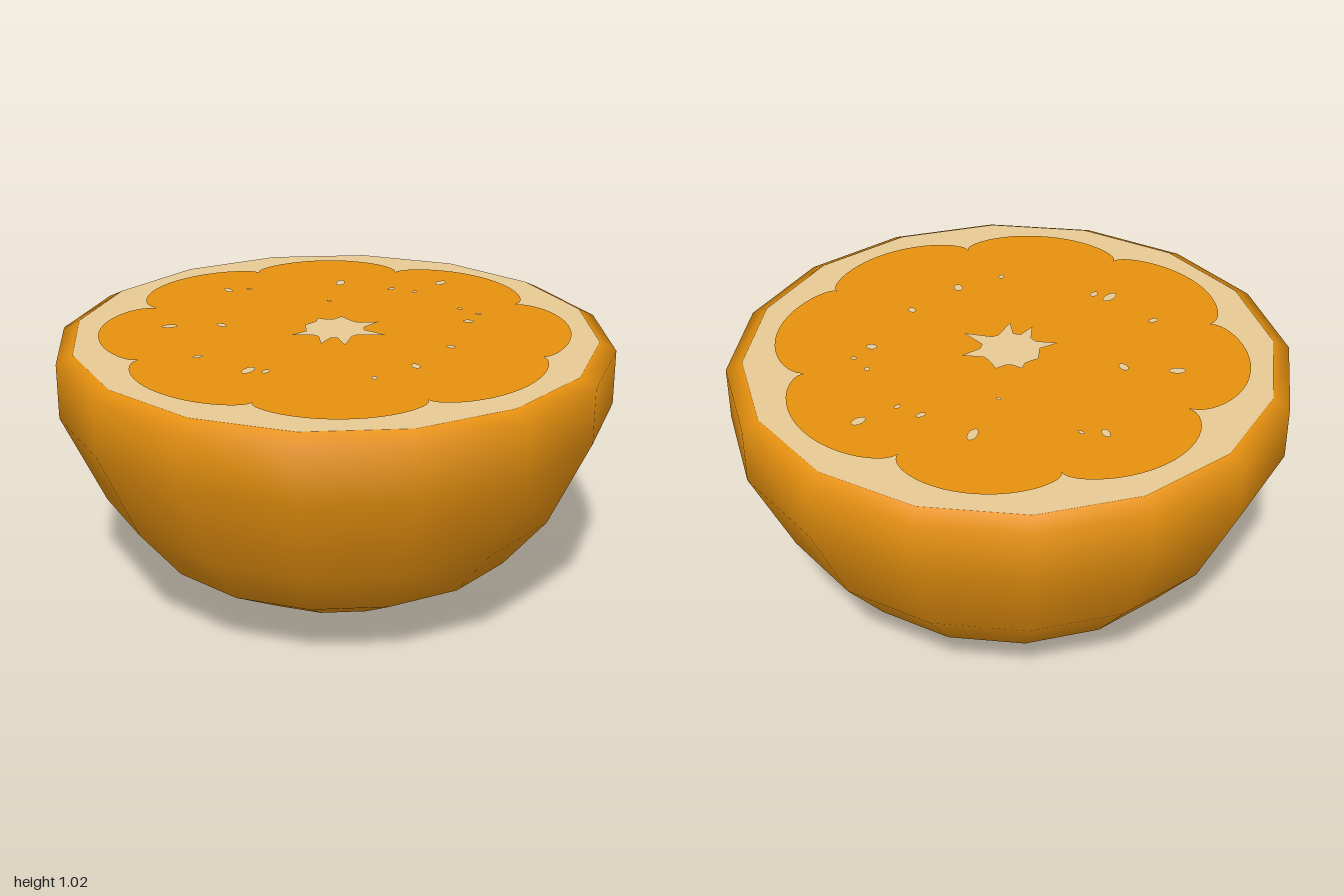
import * as THREE from 'three';

const rad = THREE.MathUtils.degToRad;

export function createModel() {
  const group = new THREE.Group();
  const material = (name, color) => {
    const m = new THREE.MeshStandardMaterial({ color });
    m.name = name;
    return m;
  };
  const orange = material('orange', 0xe8920f);
  const cream = material('cream', 0xe8cb96);

  const add = (name, geometry, mat, parent = group) => {
    const mesh = new THREE.Mesh(geometry, mat);
    mesh.name = name;
    parent.add(mesh);
    return mesh;
  };
  // Flat face lying on the cut; points are given as x, z
  const flat = (points, y) => {
    const shape = new THREE.Shape(points.map(([x, z]) => new THREE.Vector2(x, -z)));
    return new THREE.ShapeGeometry(shape).rotateX(-Math.PI / 2).translate(0, y, 0);
  };
  const polar = (r, a) => [r * Math.cos(a), r * Math.sin(a)];

  // Peel: 16-sided half fruit with a bevelled rim
  const profile = [[0, 0], [0.42, 0.09], [0.69, 0.25], [0.85, 0.45], [1, 0.78], [1, 0.98], [0.94, 1.01]];
  add('peel', new THREE.LatheGeometry(profile.map(([r, y]) => new THREE.Vector2(r, y)), 16), orange);

  // Pith: pale disc filling the cut
  add('pith', new THREE.CircleGeometry(0.94, 16).rotateX(-Math.PI / 2).translate(0, 1.01, 0), cream);

  // Flesh: eight rounded lobes between sharp notches
  const notches = [
    [-75, 0.725], [-30.6, 0.765], [14, 0.74], [58.6, 0.75],
    [103, 0.74], [148, 0.7], [194, 0.74], [237, 0.72], [285, 0.725],
  ];
  const outline = [];
  for (let i = 0; i < 8; i++) {
    const [a0, r0] = notches[i];
    const [a1, r1] = notches[i + 1];
    for (let k = 0; k < 24; k++) {
      const t = (1 - Math.cos((Math.PI * k) / 24)) / 2;
      const bulge = Math.pow(Math.sin(Math.PI * t), 0.5);
      const r = THREE.MathUtils.lerp(THREE.MathUtils.lerp(r0, r1, t), 0.845, bulge);
      outline.push(polar(r, rad(THREE.MathUtils.lerp(a0, a1, t))));
    }
  }
  add('flesh', flat(outline, 1.015), orange);

  // Core: irregular star in the middle
  const tips = [
    [0.04, -0.17], [0.17, -0.1], [0.16, 0.08], [0.1, 0.14],
    [-0.04, 0.17], [-0.1, 0.06], [-0.13, -0.02], [-0.09, -0.1],
  ];
  const star = [];
  tips.forEach(([x, z], i) => {
    const [nx, nz] = tips[(i + 1) % tips.length];
    const a = Math.atan2(z + nz, x + nx);
    star.push([x, z], polar(0.105, a - 0.13), polar(0.105, a + 0.13));
  });
  add('core', flat(star, 1.02), cream);

  // Seeds: x, z, half length, half width, turn in degrees
  const seeds = new THREE.Group();
  seeds.name = 'seeds';
  group.add(seeds);
  [
    [-0.17, -0.65, 0.03, 0.018, 70], [-0.15, -0.5, 0.014, 0.009, 60],
    [-0.23, -0.45, 0.02, 0.012, 80], [-0.41, -0.345, 0.035, 0.017, 45],
    [-0.26, -0.175, 0.011, 0.007, 0], [-0.56, -0.02, 0.013, 0.008, -20],
    [-0.6, 0.05, 0.025, 0.014, 10], [-0.28, 0.3, 0.024, 0.015, 0],
    [-0.385, 0.455, 0.03, 0.018, -65], [-0.06, 0.55, 0.02, 0.013, 85],
    [0.155, 0.49, 0.036, 0.018, 65], [0.2, 0.45, 0.02, 0.013, 60],
    [0.47, 0.2, 0.015, 0.011, 40], [0.47, 0.02, 0.024, 0.016, 20],
    [0.4, -0.2, 0.018, 0.014, 0], [0.235, -0.43, 0.02, 0.017, -40],
    [0.195, -0.515, 0.012, 0.009, -40], [0.11, -0.5, 0.013, 0.01, 20],
  ].forEach(([x, z, long, wide, turn]) => {
    const seed = add('seed', new THREE.CircleGeometry(1, 12).rotateX(-Math.PI / 2), cream, seeds);
    seed.scale.set(long, 1, wide);
    seed.rotation.y = -rad(turn);
    seed.position.set(x, 1.02, z);
  });

  return group;
}
